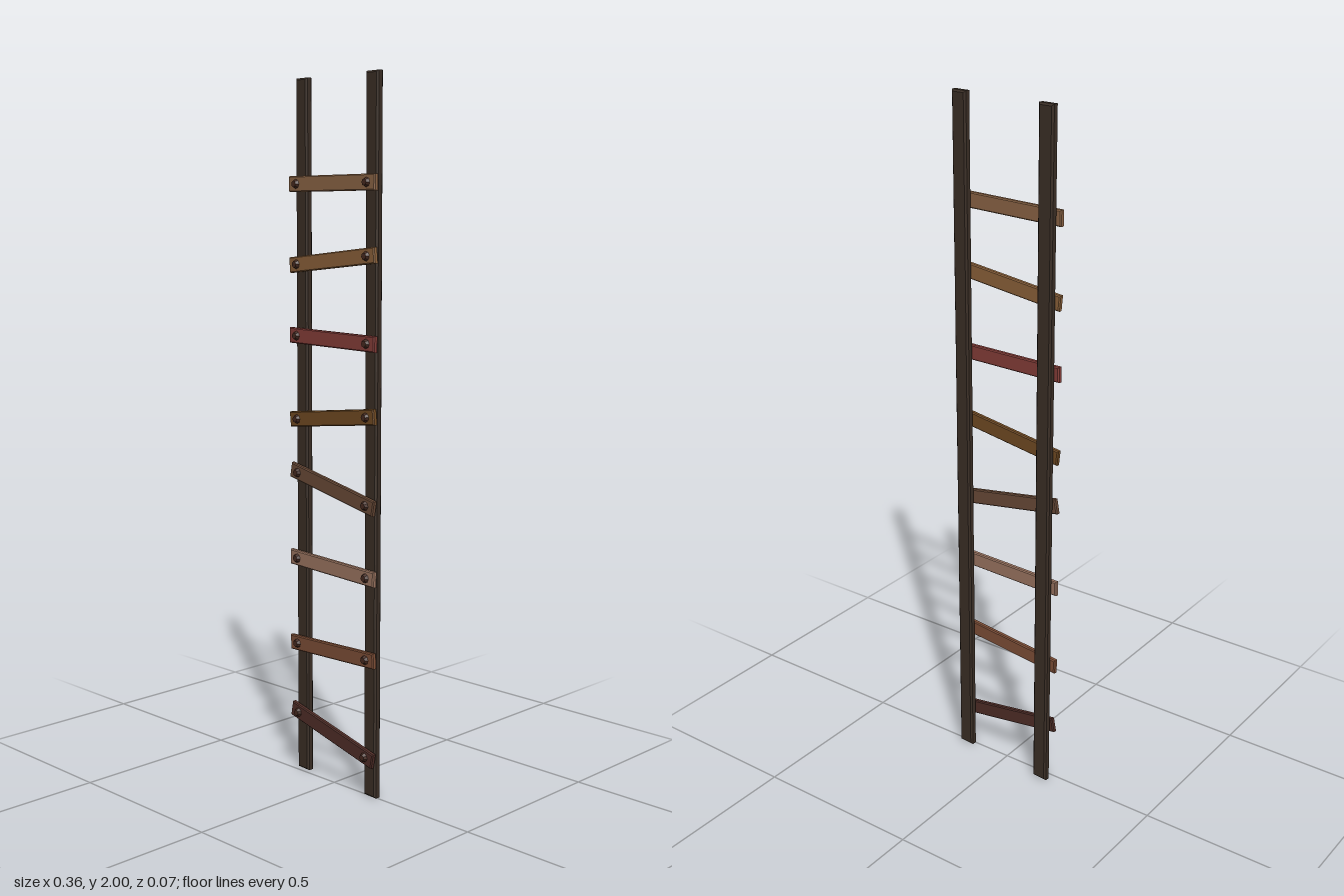
import * as THREE from 'three';

// Block with chamfered edges, centred on the origin
function chamferedBar(w, h, d, c) {
  const x = w / 2 - c, y = h / 2 - c;
  const shape = new THREE.Shape([[-x, -y], [x, -y], [x, y], [-x, y]].map(p => new THREE.Vector2(...p)));
  const geo = new THREE.ExtrudeGeometry(shape, {
    depth: d - 2 * c, bevelEnabled: true, bevelThickness: c, bevelSize: c, bevelSegments: 1,
  });
  return geo.translate(0, 0, -(d - 2 * c) / 2);
}

function addMesh(parent, name, geo, color, x, y, z) {
  const mat = new THREE.MeshStandardMaterial({ color, flatShading: true });
  const mesh = new THREE.Mesh(geo, mat);
  mesh.name = name;
  mesh.position.set(x, y, z);
  parent.add(mesh);
  return mesh;
}

// Rungs: height at the right bolt (-x), height at the left bolt (+x), colour
const RUNGS = [
  [0.178, 0.119, 0x4f2d27],
  [0.387, 0.402, 0x7d4e36],
  [0.641, 0.635, 0x9a7460],
  [0.893, 0.837, 0x694a37],
  [1.048, 1.081, 0x704a22],
  [1.286, 1.281, 0x843d38],
  [1.487, 1.515, 0x8a6039],
  [1.710, 1.710, 0x8a6344],
];

export function createModel() {
  const model = new THREE.Group();
  model.name = 'ladder';
  const ladder = new THREE.Group();
  ladder.name = 'ladderFrame';
  ladder.rotation.y = -0.07; // the whole ladder is turned slightly
  model.add(ladder);

  // Two upright rails
  const railGeo = chamferedBar(0.048, 2, 0.023, 0.005);
  for (const side of [-1, 1]) {
    addMesh(ladder, side < 0 ? 'rightRail' : 'leftRail', railGeo, 0x3a2e25, side * 0.145, 1, -0.0145);
  }

  // Crooked rungs nailed to the front of the rails
  const rungGeo = chamferedBar(0.356, 0.044, 0.015, 0.003);
  const boltGeo = new THREE.CylinderGeometry(0.009, 0.014, 0.01, 8).rotateX(Math.PI / 2);
  RUNGS.forEach(([y0, y1, color], i) => {
    const rung = new THREE.Group();
    rung.name = `rung${i + 1}`;
    rung.position.set(0, (y0 + y1) / 2, 0.0075);
    rung.rotation.z = Math.atan2(y1 - y0, 0.29);
    ladder.add(rung);
    addMesh(rung, 'rungBoard', rungGeo, color, 0, 0, 0);
    for (const side of [-1, 1]) addMesh(rung, 'bolt', boltGeo, 0x45291f, side * 0.146, 0, 0.0115);
  });
  return model;
}
